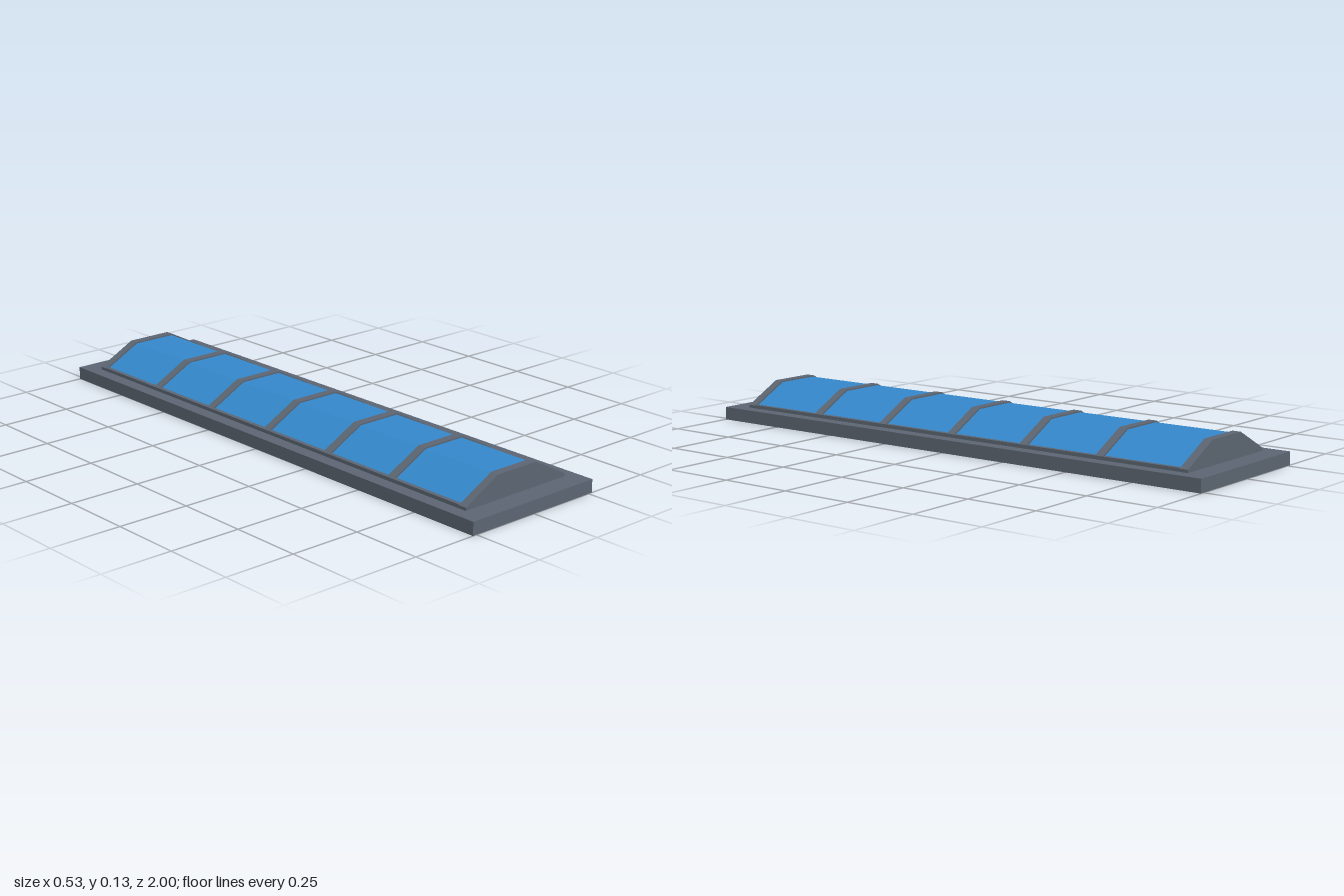
import * as THREE from 'three';

const W = 0.265, L = 1, BASE = 0.045;      // base half width, half length, height
const IN = 0.205, IN_Z = 0.895;            // opening half width and half length

const frameMat = new THREE.MeshStandardMaterial({ color: 0x5c6672, side: THREE.DoubleSide });
frameMat.name = 'slate frame';
const glassMat = new THREE.MeshStandardMaterial({ color: 0x3488cc, side: THREE.DoubleSide });
glassMat.name = 'blue glass';

// Outer outline of ribs and gables, right to left
const outer = [[0.22, BASE], [0.22, 0.055], [0.083, 0.127], [-0.083, 0.127], [-0.22, 0.055], [-0.22, BASE]];
// Underside of the ribs, left to right
const inner = [[-0.2, BASE], [-0.2, 0.05], [-0.078, 0.114], [0.078, 0.114], [0.2, 0.05], [0.2, BASE]];
const glassLine = [[IN, 0.056], [0.08, 0.122], [-0.08, 0.122], [-IN, 0.056]];

const toShape = (pts) => new THREE.Shape(pts.map(([x, y]) => new THREE.Vector2(x, y)));

function rect(w, l) {
  return toShape([[-w, -l], [w, -l], [w, l], [-w, l]]);
}

export function createModel() {
  const model = new THREE.Group();
  model.name = 'rooflight';
  const add = (name, geometry, material, x = 0, y = 0, z = 0) => {
    const mesh = new THREE.Mesh(geometry, material);
    mesh.name = name;
    mesh.position.set(x, y, z);
    model.add(mesh);
    return mesh;
  };

  // Base: a thin-walled curb, open below, with an opening in its top
  const plate = rect(W, L);
  plate.holes.push(rect(IN, IN_Z));
  add('curbTop', new THREE.ShapeGeometry(plate).rotateX(-Math.PI / 2), frameMat, 0, BASE, 0);
  for (const s of [1, -1]) {
    add('curbSide', new THREE.PlaneGeometry(2 * L, BASE).rotateY(s * Math.PI / 2), frameMat, s * W, BASE / 2, 0);
    add('curbEnd', new THREE.PlaneGeometry(2 * W, BASE).rotateY(s > 0 ? 0 : Math.PI), frameMat, 0, BASE / 2, s * L);
    // Low sill under the glass edge
    add('sill', new THREE.BoxGeometry(0.015, 0.012, 2 * IN_Z), frameMat, s * 0.2125, BASE + 0.006, 0);
  }

  // Solid gables at both ends
  const gable = new THREE.ExtrudeGeometry(toShape(outer), { depth: 0.03, bevelEnabled: false });
  for (const z of [-0.925, 0.895]) add('gable', gable, frameMat, 0, 0, z);

  // Arched ribs between the panes
  const rib = new THREE.ExtrudeGeometry(toShape([...outer, ...inner]), { depth: 0.03, bevelEnabled: false });
  for (let i = -2; i <= 2; i++) add('rib', rib, frameMat, 0, 0, i * 0.298 - 0.015);

  // Glass: three flat facets along the full length
  for (let i = 0; i < 3; i++) {
    const [x0, y0] = glassLine[i], [x1, y1] = glassLine[i + 1];
    const pane = new THREE.PlaneGeometry(Math.hypot(x1 - x0, y1 - y0), 2 * IN_Z).rotateX(-Math.PI / 2);
    const mesh = add('glass', pane, glassMat, (x0 + x1) / 2, (y0 + y1) / 2, 0);
    mesh.rotation.z = Math.atan2(y0 - y1, x0 - x1);
  }
  return model;
}
